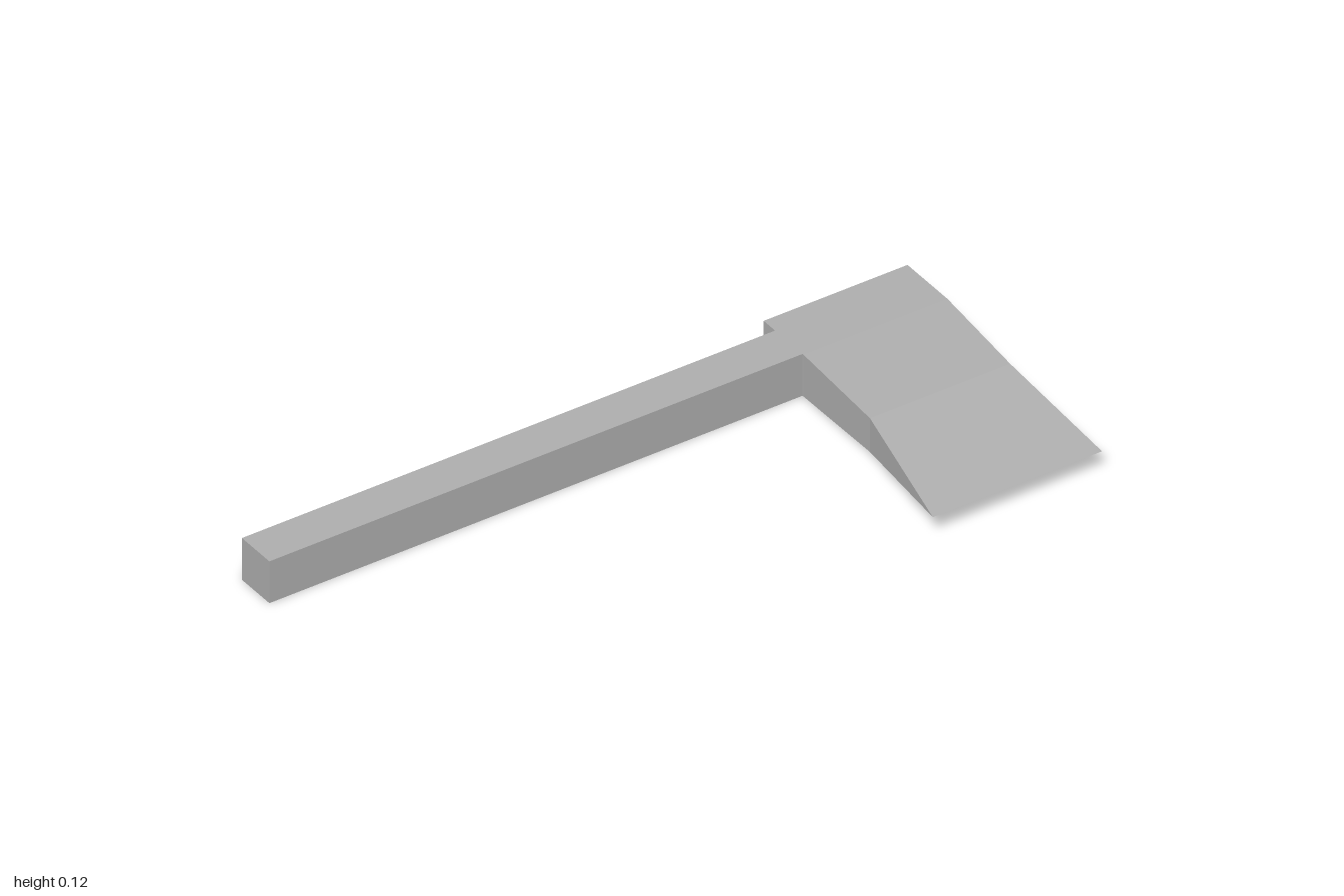
import * as THREE from 'three';

// Joins rectangular cross-sections [z, x0, x1, y0, y1], ordered by rising z, with flat faces
function loftRects(sections) {
  const rings = sections.map(([z, x0, x1, y0, y1]) =>
    [[x0, y0], [x1, y0], [x1, y1], [x0, y1]].map(([x, y]) => new THREE.Vector3(x, y, z)));
  const points = [];
  const triangle = (a, b, c) => {
    if (new THREE.Triangle(a, b, c).getArea() > 1e-6) points.push(a, b, c);
  };
  const quad = (a, b, c, d) => { triangle(a, b, c); triangle(a, c, d); };
  for (let i = 0; i < rings.length - 1; i++) {
    const a = rings[i], b = rings[i + 1];
    for (let j = 0; j < 4; j++) {
      const k = (j + 1) % 4;
      quad(a[j], a[k], b[k], b[j]);
    }
  }
  const back = rings[0], front = rings[rings.length - 1];
  quad(back[0], back[3], back[2], back[1]);
  quad(front[0], front[1], front[2], front[3]);
  const geometry = new THREE.BufferGeometry().setFromPoints(points);
  geometry.computeVertexNormals();
  return geometry;
}

export function createModel() {
  const group = new THREE.Group();
  const grey = new THREE.MeshStandardMaterial({ color: 0xb0b0b0 });
  grey.name = 'plainGrey';
  grey.flatShading = true;

  // Straight square handle running into the side of the head
  const handle = new THREE.Mesh(new THREE.BoxGeometry(1.575, 0.125, 0.12), grey);
  handle.name = 'handle';
  handle.position.set(-0.2125, 0.0625, -0.315);
  group.add(handle);

  // Axe head: blunt poll, slightly waisted cheek, flared cutting edge
  const head = new THREE.Mesh(loftRects([
    [-0.425, 0.575, 1, 0, 0.125],
    [-0.25, 0.575, 1, 0, 0.125],
    [0.05, 0.568, 0.982, 0.012, 0.113],
    [0.425, 0.5, 1, 0.0625, 0.0625],
  ]), grey);
  head.name = 'axeHead';
  group.add(head);

  return group;
}
